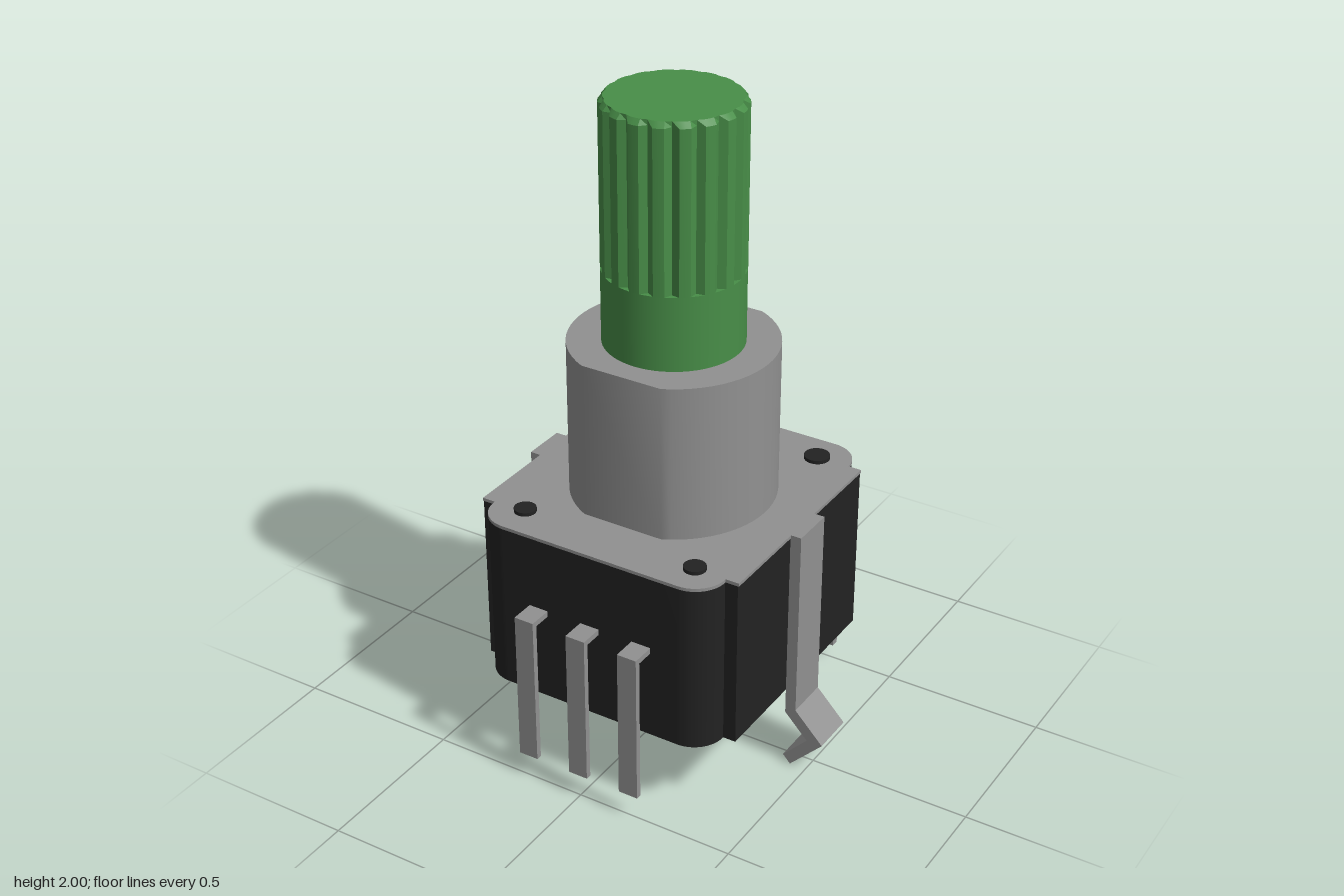
import * as THREE from 'three';
import { toCreasedNormals } from 'three/addons/utils/BufferGeometryUtils.js';

const CZ = -0.0165; // depth of the shaft axis

export function createModel() {
  const model = new THREE.Group();
  model.name = 'rotaryEncoder';
  const metal = new THREE.MeshStandardMaterial({ name: 'grey metal', color: 0x919191 });
  const plastic = new THREE.MeshStandardMaterial({ name: 'black plastic', color: 0x222222 });
  const green = new THREE.MeshStandardMaterial({ name: 'green shaft', color: 0x488e48 });

  const add = (name, geometry, material, parent = model) => {
    const mesh = new THREE.Mesh(geometry, material);
    mesh.name = name;
    parent.add(mesh);
    return mesh;
  };
  const box = (name, x0, x1, y0, y1, z0, z1, material, parent) =>
    add(name, new THREE.BoxGeometry(x1 - x0, y1 - y0, z1 - z0), material, parent)
      .position.set((x0 + x1) / 2, (y0 + y1) / 2, (z0 + z1) / 2);
  // upright prism; the shape's y axis becomes -z
  const prism = (shape, y0, y1) => {
    const g = new THREE.ExtrudeGeometry(shape, { depth: y1 - y0, bevelEnabled: false, curveSegments: 12 });
    return g.rotateX(-Math.PI / 2).translate(0, y0, 0);
  };
  const crease = (g) => toCreasedNormals(g, 0.5);

  // Rounded housing outline with a shallow step on each side
  const outline = (w, wing, front, back, r) => {
    const s = new THREE.Shape();
    s.moveTo(-w + r, -front);
    s.lineTo(w - r, -front);
    s.absarc(w - r, -front + r, r, -Math.PI / 2, 0, false);
    s.lineTo(w, -0.34);
    s.lineTo(wing, -0.34);
    s.lineTo(wing, 0.375);
    s.lineTo(w, 0.375);
    s.absarc(w - r, back - r, r, 0, Math.PI / 2, false);
    s.lineTo(-w + r, back);
    s.absarc(-w + r, back - r, r, Math.PI / 2, Math.PI, false);
    s.lineTo(-w, 0.375);
    s.lineTo(-wing, 0.375);
    s.lineTo(-wing, -0.34);
    s.lineTo(-w, -0.34);
    s.absarc(-w + r, -front + r, r, Math.PI, Math.PI * 1.5, false);
    return s;
  };
  add('housing', crease(prism(outline(0.385, 0.425, 0.437, 0.47, 0.095), 0.26, 0.786)), plastic);
  add('coverPlate', crease(prism(outline(0.386, 0.428, 0.438, 0.471, 0.095), 0.786, 0.796)), metal);

  // Rivet heads
  for (const [x, z, r] of [[-0.283, -0.37, 0.039], [0.283, -0.37, 0.039], [-0.283, 0.334, 0.033], [0.288, 0.34, 0.033]])
    add('rivet', new THREE.CylinderGeometry(r, r, 0.03, 32), plastic).position.set(x, 0.792, z);

  // Bushing: a cylinder with a flat at front and back
  const R = 0.305, a = Math.asin(0.2765 / R);
  const bushing = new THREE.Shape();
  bushing.absarc(0, 0, R, -a, a, false);
  bushing.absarc(0, 0, R, Math.PI - a, Math.PI + a, false);
  bushing.closePath();
  add('bushing', crease(prism(bushing, 0.79, 1.275)), metal).position.z = CZ;

  // Shaft: plain neck and a grooved grip with a chamfered tip
  add('shaftNeck', new THREE.CylinderGeometry(0.205, 0.205, 0.25, 64), green).position.set(0, 1.375, CZ);
  const teeth = 18, pitch = (Math.PI * 2) / teeth, points = [];
  for (let i = 0; i < teeth; i++)
    for (const [t, r] of [[0, 0.188], [0.28, 0.205], [0.5, 0.2055], [0.72, 0.205]])
      points.push(new THREE.Vector2(Math.cos((i + t) * pitch) * r, Math.sin((i + t) * pitch) * r));
  const knurl = new THREE.Shape(points);
  add('shaftGrip', toCreasedNormals(prism(knurl, 1.5, 1.984), 0.25), green).position.z = CZ;
  const tip = prism(knurl, 1.984, 2);
  const pos = tip.attributes.position;
  for (let i = 0; i < pos.count; i++) {
    if (pos.getY(i) < 1.99) continue;
    const k = Math.min(1, 0.192 / Math.hypot(pos.getX(i), pos.getZ(i)));
    pos.setX(i, pos.getX(i) * k);
    pos.setZ(i, pos.getZ(i) * k);
  }
  add('shaftTip', toCreasedNormals(tip, 0.25), green).position.z = CZ;

  // Bent mounting legs, mirrored left and right
  const leg = [[0.42, 0.796], [0.461, 0.796], [0.461, 0.2], [0.552, 0.106], [0.448, 0],
    [0.424, 0.026], [0.501, 0.106], [0.427, 0.183], [0.427, 0.786], [0.42, 0.786]];
  for (const side of [1, -1]) {
    const shape = new THREE.Shape(leg.map(([x, y]) => new THREE.Vector2(side * x, y)));
    const g = new THREE.ExtrudeGeometry(shape, { depth: 0.137, bevelEnabled: false });
    add(side > 0 ? 'leftMountingLeg' : 'rightMountingLeg', g.translate(0, 0, -0.087), metal);
  }

  // Right-angle solder pins: three in front, five behind
  for (const x of [-0.174, 0, 0.172]) {
    const pin = new THREE.Group();
    pin.name = 'frontPin';
    model.add(pin);
    box('pinRoot', x - 0.031, x + 0.031, 0.54, 0.558, 0.42, 0.494, metal, pin);
    box('pinDrop', x - 0.031, x + 0.031, 0.08, 0.558, 0.494, 0.512, metal, pin);
  }
  for (const x of [-0.277, -0.138, 0, 0.137, 0.276]) {
    const pin = new THREE.Group();
    pin.name = 'backPin';
    model.add(pin);
    box('pinRoot', x - 0.028, x + 0.028, 0.312, 0.33, -0.486, -0.45, metal, pin);
    box('pinDrop', x - 0.028, x + 0.028, 0.055, 0.33, -0.512, -0.486, metal, pin);
  }
  return model;
}
